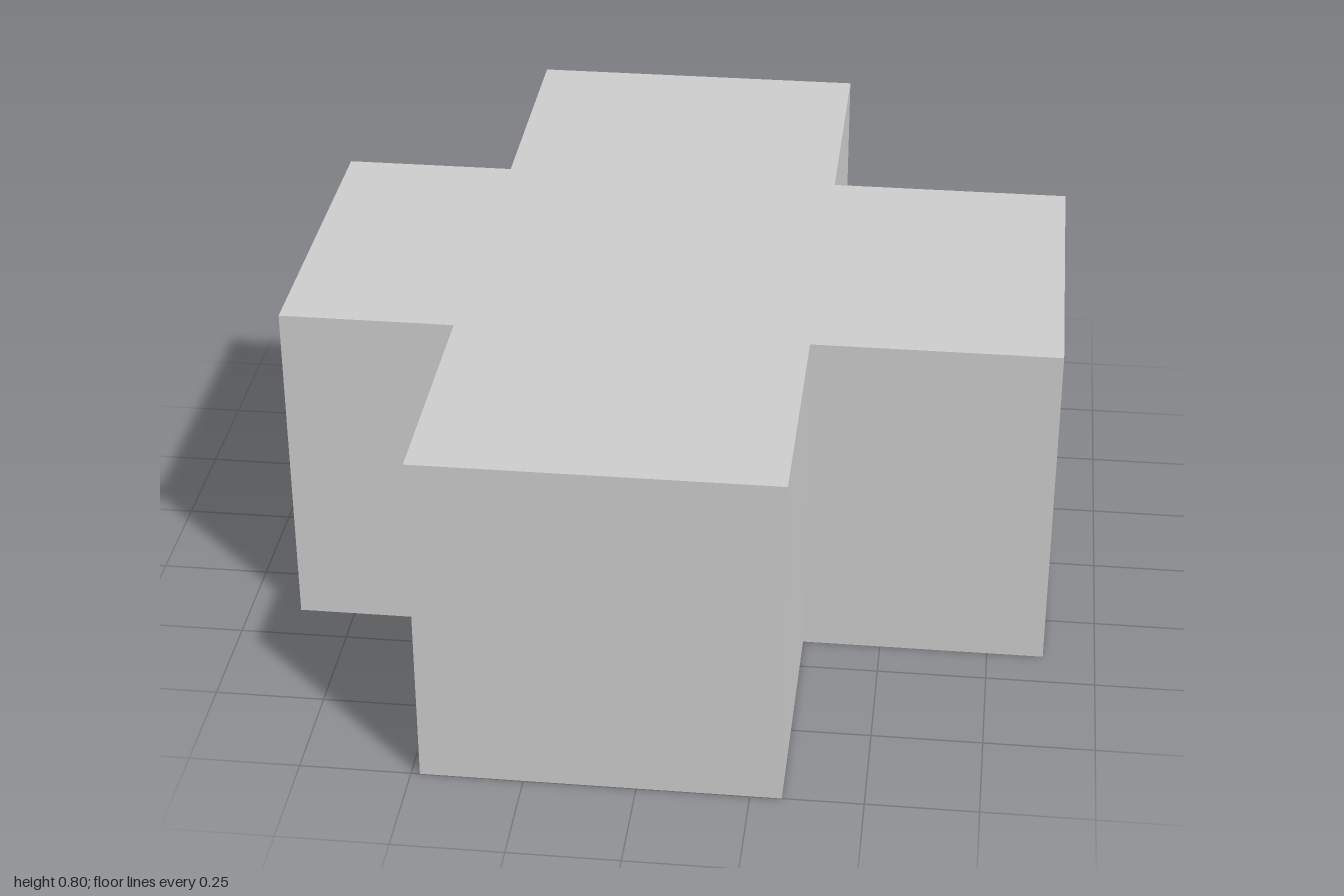
import * as THREE from 'three';

export function createModel() {
  const group = new THREE.Group();
  const height = 0.8;
  const endX = 0.88, armZ = 0.4, endZ = 1;
  const barLeft = 0.32, barRight = -0.48; // long bar sits off-centre in x

  // Cross-shaped plan, counter-clockwise
  const plan = new THREE.Shape([
    [barRight, -endZ], [barLeft, -endZ], [barLeft, -armZ], [endX, -armZ],
    [endX, armZ], [barLeft, armZ], [barLeft, endZ], [barRight, endZ],
    [barRight, armZ], [-endX, armZ], [-endX, -armZ], [barRight, -armZ],
  ].map(([x, y]) => new THREE.Vector2(x, y)));

  // Raise the plan to full height, standing on the ground
  const geometry = new THREE.ExtrudeGeometry(plan, { depth: height, bevelEnabled: false });
  geometry.rotateX(-Math.PI / 2);

  const crossBlock = new THREE.Mesh(
    geometry,
    new THREE.MeshStandardMaterial({ color: 0xcccccc, flatShading: true }),
  );
  crossBlock.name = 'crossBlock';
  group.add(crossBlock);
  return group;
}
